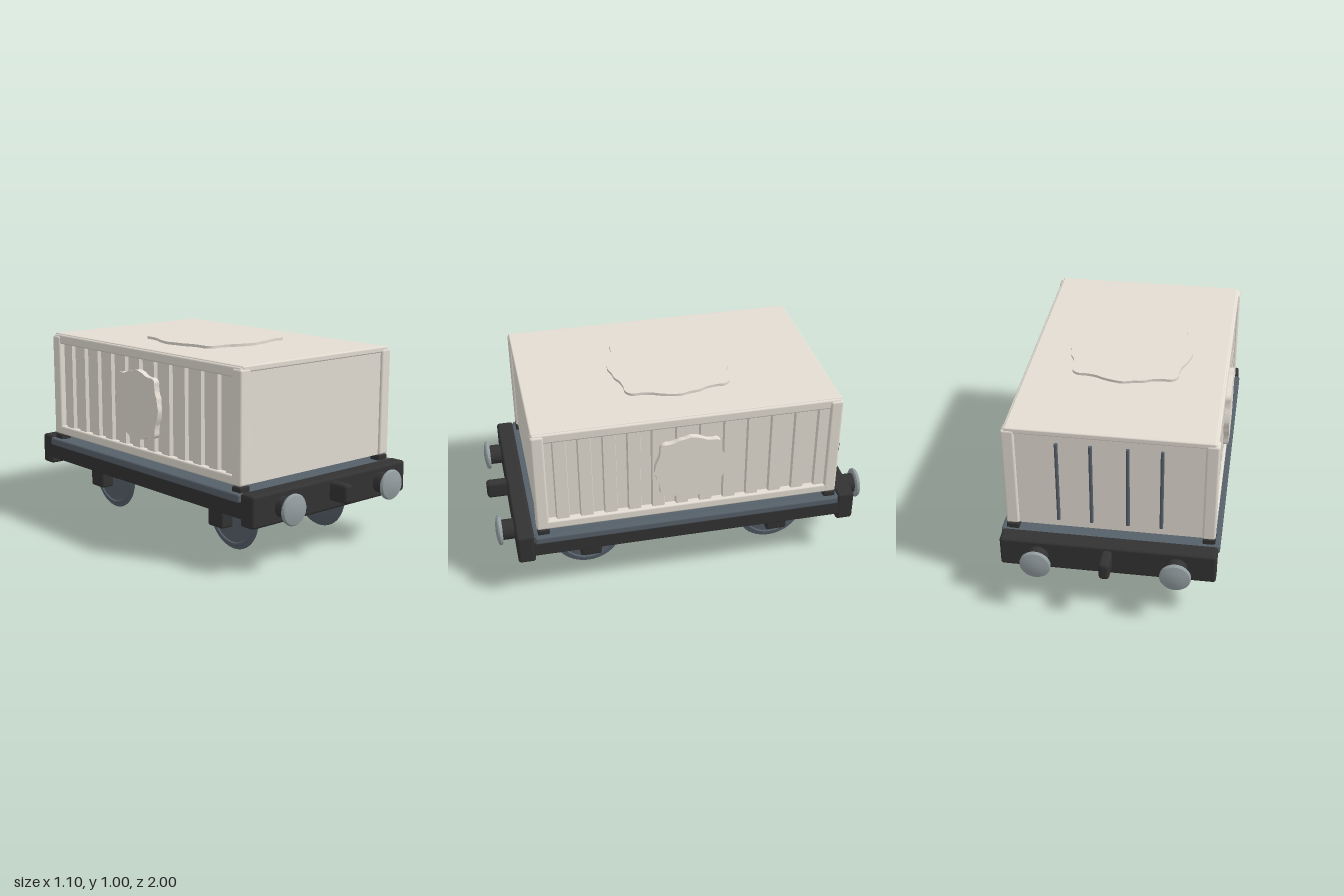
import * as THREE from 'three';
import { toCreasedNormals } from 'three/addons/utils/BufferGeometryUtils.js';
import { RoundedBoxGeometry } from 'three/addons/geometries/RoundedBoxGeometry.js';

const material = (name, color) => new THREE.MeshStandardMaterial({ name, color });

export function createModel() {
  const cream = material('cream', 0xe3ddd3);
  const black = material('black', 0x333333);
  const slate = material('slate', 0x566069);
  const steel = material('steel', 0x959fa2);
  const model = new THREE.Group();
  model.name = 'containerWagon';

  const add = (parent, name, geometry, mat) => {
    const mesh = new THREE.Mesh(geometry, mat);
    mesh.name = name;
    parent.add(mesh);
    return mesh;
  };
  // box given by its limits on each axis, with softened edges
  const block = (parent, name, mat, x0, x1, y0, y1, z0, z1, r = 0.01) => {
    const g = r > 0
      ? new RoundedBoxGeometry(x1 - x0, y1 - y0, z1 - z0, 2, r)
      : new THREE.BoxGeometry(x1 - x0, y1 - y0, z1 - z0);
    g.translate((x0 + x1) / 2, (y0 + y1) / 2, (z0 + z1) / 2);
    return add(parent, name, g, mat);
  };
  const lathe = (points, segments = 40) => toCreasedNormals(
    new THREE.LatheGeometry(points.map(([r, h]) => new THREE.Vector2(r, h)), segments), 0.5);

  // ---- container body ----
  const container = new THREE.Group();
  container.name = 'container';
  model.add(container);
  block(container, 'core', cream, -0.475, 0.475, 0.416, 0.965, -0.775, 0.775, 0);
  block(container, 'roof', cream, -0.505, 0.505, 0.955, 0.986, -0.783, 0.783, 0.008);

  // corrugated side: repeated upright ribs, extruded upwards
  const ribs = 12, zEnd = 0.735, pitch = (2 * zEnd) / ribs;
  const wall = new THREE.Shape();
  wall.moveTo(0.46, zEnd);
  wall.lineTo(0.46, -zEnd);
  for (let i = 0; i < ribs; i++) {
    const z = -zEnd + i * pitch;
    wall.lineTo(0.488, z);
    wall.lineTo(0.488, z + pitch * 0.42);
    wall.lineTo(0.508, z + pitch * 0.46);
    wall.lineTo(0.508, z + pitch * 0.96);
  }
  wall.lineTo(0.488, zEnd);
  const wallGeometry = new THREE.ExtrudeGeometry(wall, { depth: 0.5, bevelEnabled: false });
  wallGeometry.rotateX(-Math.PI / 2).translate(0, 0.44, 0);

  // scalloped plaque: one quarter outline turned four times
  const quarter = [[0, 0.327], [0.06, 0.318], [0.11, 0.302], [0.15, 0.284], [0.2, 0.276], [0.25, 0.273],
    [0.277, 0.243], [0.277, 0.2], [0.288, 0.14], [0.307, 0.1], [0.314, 0.05]];
  const plaque = (scale, depth) => {
    const pts = [];
    for (let k = 0; k < 4; k++) {
      for (const [x, y] of quarter) {
        pts.push(new THREE.Vector3(x, y, 0).applyAxisAngle(new THREE.Vector3(0, 0, 1), -k * Math.PI / 2)
          .multiplyScalar(scale));
      }
    }
    const outline = new THREE.CatmullRomCurve3(pts, true).getPoints(132).slice(0, -1)
      .map(p => new THREE.Vector2(p.x, p.y));
    return toCreasedNormals(new THREE.ExtrudeGeometry(new THREE.Shape(outline),
      { depth, bevelEnabled: false }), 0.6);
  };
  add(container, 'roofPlaque', plaque(0.98, 0.018).rotateX(-Math.PI / 2).translate(0, 0.982, 0), cream);

  for (const turn of [0, Math.PI]) {
    const side = new THREE.Group();
    side.name = turn ? 'rightSide' : 'leftSide';
    side.rotation.y = turn;
    container.add(side);
    add(side, 'corrugatedWall', wallGeometry, cream);
    block(side, 'topRail', cream, 0.46, 0.515, 0.928, 0.98, -0.78, 0.78);
    block(side, 'bottomRail', cream, 0.46, 0.522, 0.414, 0.462, -0.782, 0.782);
    add(side, 'sidePlaque', plaque(0.56, 0.032).rotateY(Math.PI / 2).translate(0.504, 0.693, 0), cream);
    for (const s of [-1, 1]) {
      const z0 = s > 0 ? 0.722 : -0.787;
      block(side, 'cornerPost', cream, 0.457, 0.523, 0.414, 0.972, z0, z0 + 0.065, 0.012);
      block(side, 'foot', black, 0.46, 0.523, 0.375, 0.412, z0, z0 + 0.06, 0.006);
    }
  }

  // upright rods on the back wall
  for (const x of [-0.255, -0.09, 0.09, 0.255]) {
    const rod = new THREE.CylinderGeometry(0.009, 0.009, 0.455, 12);
    add(container, 'backRod', rod.translate(x, 0.69, -0.784), slate);
  }

  // ---- chassis: thin deck on a hollow frame ----
  const chassis = new THREE.Group();
  chassis.name = 'chassis';
  model.add(chassis);
  block(chassis, 'deck', slate, -0.53, 0.53, 0.352, 0.383, -0.81, 0.81, 0);
  for (const s of [-1, 1]) {
    const xa = s * 0.475, xb = s * 0.537;
    block(chassis, 'sideSill', black, Math.min(xa, xb), Math.max(xa, xb), 0.266, 0.35, -0.82, 0.82, 0.006);
    const xc = s * 0.5, xd = s * 0.548;
    block(chassis, 'sideRail', slate, Math.min(xc, xd), Math.max(xc, xd), 0.344, 0.386, -0.8, 0.8);
  }

  // buffer beam, buffers and coupling, repeated at both ends
  const headGeometry = lathe([[0, 0.953], [0.07, 0.953], [0.077, 0.959], [0.078, 0.968],
    [0.072, 0.976], [0.04, 0.984], [0, 0.987]]).rotateX(Math.PI / 2);
  const shankGeometry = new THREE.CylinderGeometry(0.053, 0.053, 0.1, 28).rotateX(Math.PI / 2);
  for (const turn of [0, Math.PI]) {
    const end = new THREE.Group();
    end.name = turn ? 'backEnd' : 'frontEnd';
    end.rotation.y = turn;
    chassis.add(end);
    block(end, 'bufferBeam', black, -0.539, 0.539, 0.231, 0.394, 0.802, 0.892, 0.015);
    block(end, 'couplingHook', black, -0.027, 0.027, 0.281, 0.379, 0.88, 1.0, 0.018);
    for (const x of [-0.345, 0.345]) {
      add(end, 'bufferShank', shankGeometry, black).position.set(x, 0.312, 0.92);
      add(end, 'bufferHead', headGeometry, steel).position.set(x, 0.312, 0);
    }
  }

  // ---- wheelsets ----
  const wheelGeometry = lathe([[0, 0.257], [0.07, 0.259], [0.12, 0.273], [0.16, 0.295], [0.178, 0.305],
    [0.181, 0.31], [0.178, 0.314], [0.165, 0.316], [0.16, 0.322], [0.148, 0.324], [0.144, 0.317],
    [0.137, 0.317], [0.06, 0.335], [0, 0.335]], 48).rotateZ(-Math.PI / 2);
  for (const z of [-0.505, 0.505]) {
    const set = new THREE.Group();
    set.name = z > 0 ? 'frontWheelset' : 'backWheelset';
    set.position.set(0, 0.181, z);
    chassis.add(set);
    add(set, 'axle', new THREE.CylinderGeometry(0.028, 0.028, 0.6, 20).rotateZ(Math.PI / 2), slate);
    for (const turn of [0, Math.PI]) {
      const half = new THREE.Group();
      half.name = 'wheelAndBearing';
      half.rotation.y = turn;
      set.add(half);
      add(half, 'wheel', wheelGeometry, slate);
      block(half, 'axleBox', black, 0.362, 0.438, -0.043, 0.06, -0.056, 0.056, 0.012);
      block(half, 'springPlate', black, 0.42, 0.485, 0.08, 0.11, -0.11, 0.11, 0);
    }
  }
  return model;
}
